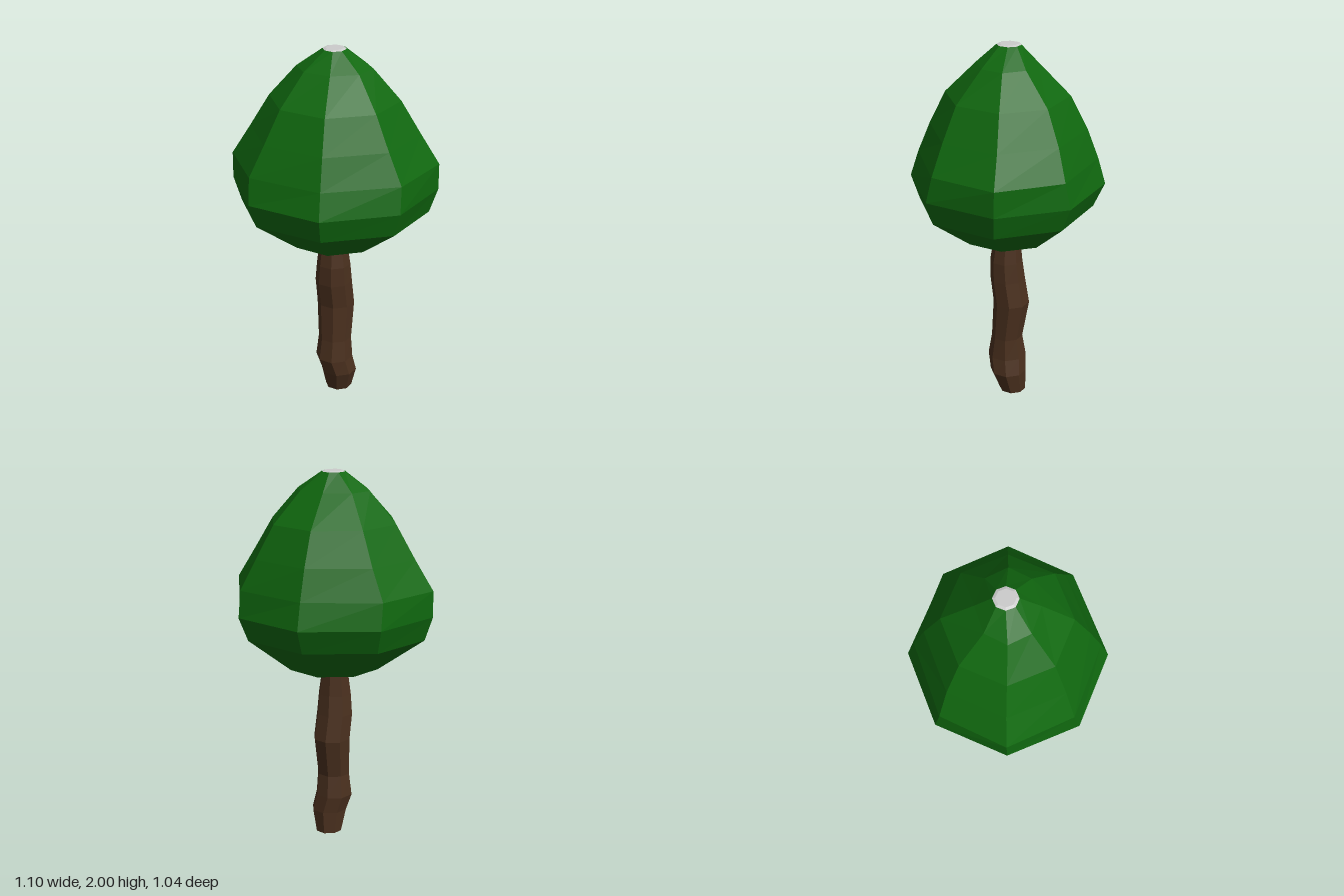
import * as THREE from 'three';

const SIDES = 8;

// Faceted skin through octagonal rings [y, xMin, xMax, zMin, zMax], listed bottom to top
function loft(name, rings, color, closeStart = false, closeEnd = false) {
  const pos = [], index = [];
  const half = (c, neg, plus) => (c < 0 ? -c * neg : c * plus);
  for (const [y, x0, x1, z0, z1] of rings) {
    const cx = (x0 + x1) / 2, cz = (z0 + z1) / 2;
    for (let i = 0; i < SIDES; i++) {
      const a = (i / SIDES) * Math.PI * 2;
      const c = Math.cos(a), s = Math.sin(a);
      pos.push(cx + Math.sign(c) * half(c, cx - x0, x1 - cx), y, cz + Math.sign(s) * half(s, cz - z0, z1 - cz));
    }
  }
  for (let r = 0; r < rings.length - 1; r++) {
    for (let i = 0; i < SIDES; i++) {
      const a = r * SIDES + i, b = r * SIDES + (i + 1) % SIDES;
      index.push(a, a + SIDES, b, b, a + SIDES, b + SIDES);
    }
  }
  // End caps as fans
  const last = (rings.length - 1) * SIDES;
  for (let i = 1; i < SIDES - 1; i++) {
    if (closeStart) index.push(0, i, i + 1);
    if (closeEnd) index.push(last, last + i + 1, last + i);
  }
  const indexed = new THREE.BufferGeometry();
  indexed.setAttribute('position', new THREE.Float32BufferAttribute(pos, 3));
  indexed.setIndex(index);
  const geometry = indexed.toNonIndexed();
  geometry.computeVertexNormals();
  const material = new THREE.MeshStandardMaterial({ color, flatShading: true, side: THREE.DoubleSide });
  const mesh = new THREE.Mesh(geometry, material);
  mesh.name = name;
  return mesh;
}

export function createModel() {
  const tree = new THREE.Group();
  tree.name = 'tree';

  // Crooked trunk, running up into the foliage
  tree.add(loft('trunk', [
    [0.0, -0.055, 0.09, -0.105, 0.04],
    [0.12, -0.075, 0.12, -0.107, 0.09],
    [0.21, -0.105, 0.1, -0.105, 0.105],
    [0.33, -0.09, 0.092, -0.085, 0.085],
    [0.54, -0.1, 0.105, -0.122, 0.075],
    [0.68, -0.107, 0.095, -0.098, 0.093],
    [0.79, -0.097, 0.087, -0.083, 0.093],
    [0.93, -0.08, 0.065, -0.07, 0.07],
    [1.02, -0.075, 0.06, -0.065, 0.065],
  ], 0x4a301e, true, true));

  // Foliage, starting at the recessed hole around the trunk
  tree.add(loft('foliage', [
    [0.97, -0.08, 0.08, -0.08, 0.08],
    [0.935, -0.13, 0.13, -0.13, 0.13],
    [0.948, -0.25, 0.25, -0.25, 0.25],
    [1.13, -0.505, 0.505, -0.46, 0.475],
    [1.26, -0.55, 0.55, -0.52, 0.52],
    [1.4, -0.55, 0.55, -0.48, 0.475],
    [1.56, -0.45, 0.45, -0.42, 0.41],
    [1.735, -0.345, 0.345, -0.33, 0.325],
    [1.9, -0.2, 0.2, -0.16, 0.16],
    [1.995, -0.065, 0.06, -0.075, 0.055],
  ], 0x10680f));

  // Small pale cap closing the crown
  tree.add(loft('crownCap', [
    [1.995, -0.065, 0.06, -0.075, 0.055],
    [2.0, -0.05, 0.045, -0.06, 0.04],
  ], 0xcccccc, false, true));

  return tree;
}
